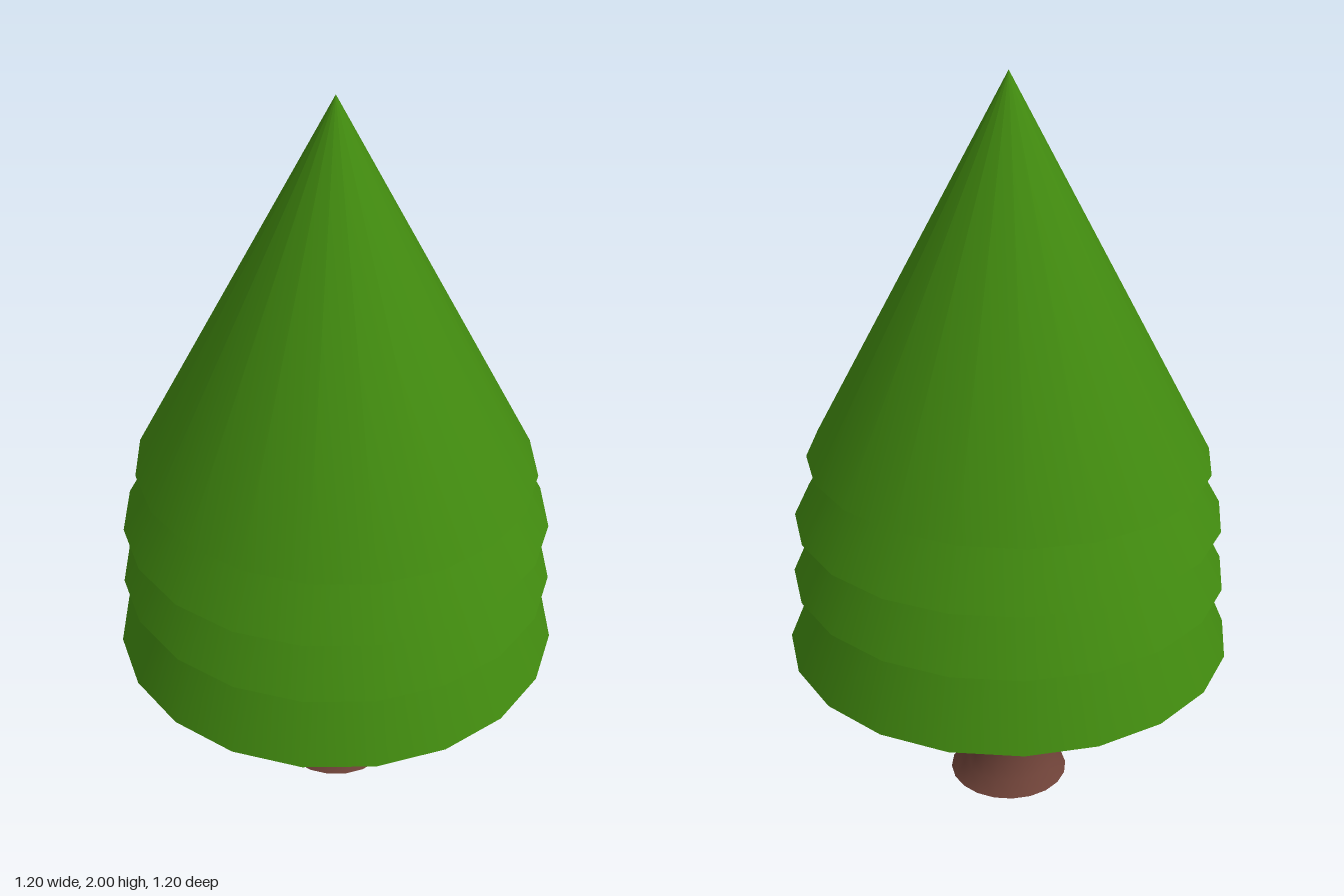
import * as THREE from 'three';

const SIDES = 20;

export function createModel() {
  const tree = new THREE.Group();
  tree.name = 'pineTree';

  const foliage = new THREE.MeshStandardMaterial({ color: 0x418a0f });
  foliage.name = 'foliageGreen';
  const bark = new THREE.MeshStandardMaterial({ color: 0x6e4238 });
  bark.name = 'barkBrown';

  const add = (name, geometry, material) => {
    const mesh = new THREE.Mesh(geometry, material);
    mesh.name = name;
    tree.add(mesh);
    return mesh;
  };

  // Foliage tiers: base height, top height, half width, half depth, top radius ratio
  const tiers = [
    [0.46, 0.70, 0.60, 0.60, 0.83],
    [0.665, 0.87, 0.58, 0.583, 0.82],
    [0.835, 1.05, 0.57, 0.57, 0.79],
    [1.0, 2.0, 0.525, 0.545, 0],
  ];
  tiers.forEach(([y0, y1, rx, rz, taper], i) => {
    const height = y1 - y0;
    const geometry = taper
      ? new THREE.CylinderGeometry(taper, 1, height, SIDES)
      : new THREE.ConeGeometry(1, height, SIDES);
    geometry.scale(rx, 1, rz);
    add(`foliageTier${i + 1}`, geometry, foliage).position.y = (y0 + y1) / 2;
  });

  // Trunk with a flared root, running up into the lowest tier
  const profile = [
    [0.165, 0], [0.136, 0.04], [0.122, 0.085], [0.111, 0.13],
    [0.108, 0.21], [0.106, 0.5],
  ].map(([r, y]) => new THREE.Vector2(r, y));
  add('trunk', new THREE.LatheGeometry(profile, SIDES), bark);

  // Flat underside of the root
  const base = new THREE.CircleGeometry(0.165, SIDES);
  base.rotateX(Math.PI / 2);
  add('trunkBase', base, bark);

  return tree;
}
